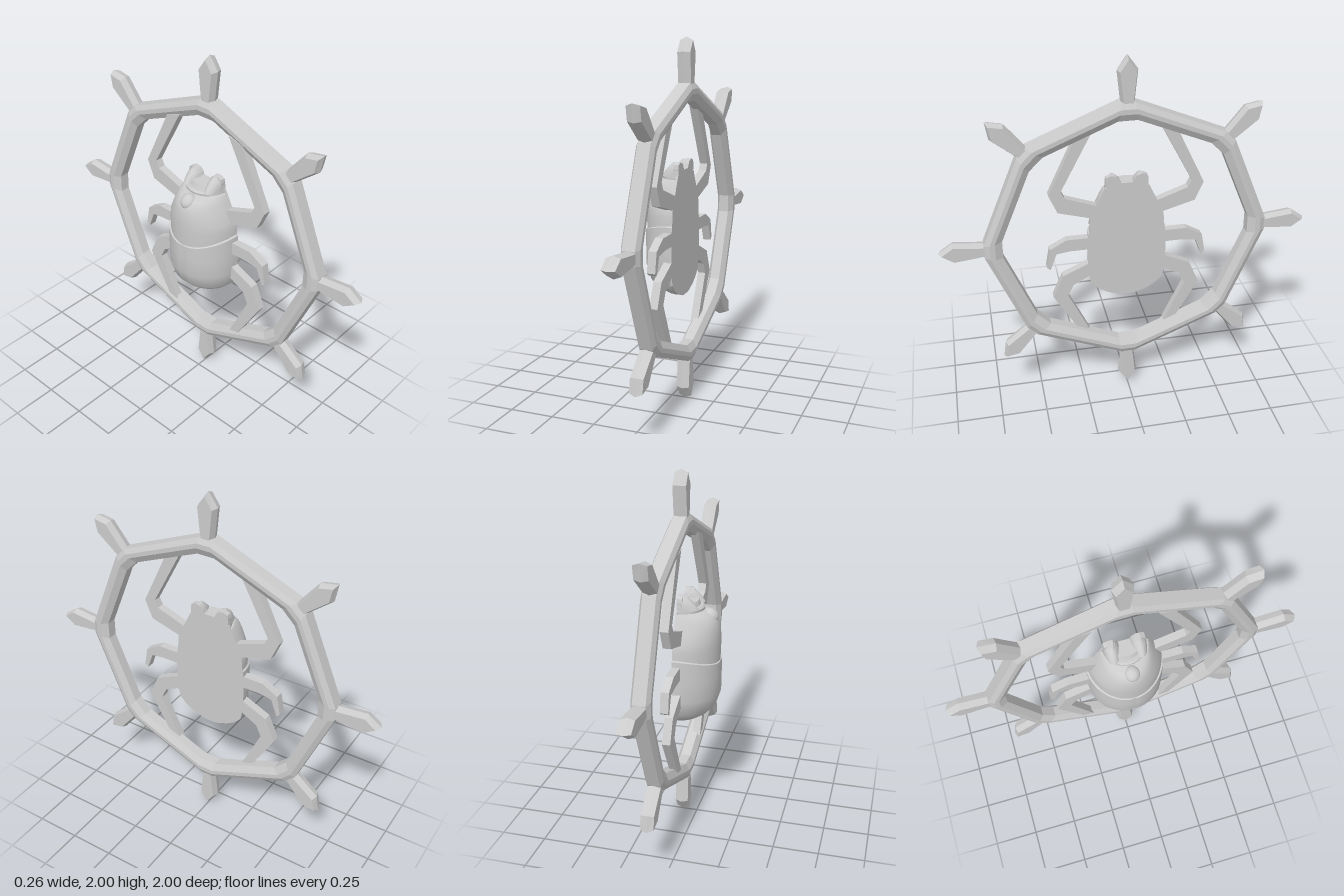
import * as THREE from 'three';
import { toCreasedNormals } from 'three/addons/utils/BufferGeometryUtils.js';

const CX = 0.08; // middle plane of the wheel, also the flat underside of the beetle
const CY = 1.0;
const material = new THREE.MeshStandardMaterial({ color: 0xcccccc });

function add(parent, name, geometry) {
  const mesh = new THREE.Mesh(geometry, material);
  mesh.name = name;
  parent.add(mesh);
  return mesh;
}

// Skin over rows of points; closed joins both directions
function skin(rows, closed, crease) {
  const n = rows.length, m = rows[0].length, index = [];
  for (let i = 0; i < (closed ? n : n - 1); i++) {
    for (let j = 0; j < (closed ? m : m - 1); j++) {
      const i2 = (i + 1) % n, j2 = (j + 1) % m;
      const a = i * m + j, b = i2 * m + j, c = i2 * m + j2, d = i * m + j2;
      index.push(a, b, d, b, c, d);
    }
  }
  const geo = new THREE.BufferGeometry();
  geo.setAttribute('position', new THREE.Float32BufferAttribute(rows.flat(2), 3));
  geo.setIndex(index);
  return toCreasedNormals(geo, crease);
}

// Flat outline of [z, y] points, extruded along x
function plate(points, x0, depth, side = 1) {
  const shape = new THREE.Shape(points.map(([z, y]) => new THREE.Vector2(-z * side, y)));
  const geo = new THREE.ExtrudeGeometry(shape, { depth, bevelEnabled: false });
  return geo.rotateY(Math.PI / 2).translate(x0, 0, 0);
}

// Half-round dome from rows of [y, half width, depth, lift of the sides]
function dome(profile, { groove = 0, z0 = 0, crease = 0.6 } = {}) {
  const steps = 32;
  const rows = profile.map(([y, w, d, lift = 0]) => {
    const row = [];
    for (let j = 0; j <= steps; j++) {
      const t = (j / steps) * Math.PI;
      const k = j === steps / 2 ? 1 - groove : 1;
      row.push([CX - d * k * Math.sin(t), y + lift * Math.cos(t) ** 2, z0 + w * Math.cos(t)]);
    }
    return row;
  });
  return skin(rows, false, crease);
}

// Eight-sided rim with blunt corners and a chamfered section
function rimGeometry() {
  const section = [ // radius, x offset, half length of the blunt corner
    [0.765, -0.034, 0.036], [0.765, 0.034, 0.036], [0.735, 0.05, 0.04], [0.708, 0.05, 0.045],
    [0.668, 0.028, 0.05], [0.668, -0.028, 0.05], [0.708, -0.05, 0.045], [0.735, -0.05, 0.04],
  ];
  const rows = [];
  for (let i = 0; i < 8; i++) {
    const c = Math.cos((i * Math.PI) / 4), s = Math.sin((i * Math.PI) / 4);
    for (const e of [-1, 1]) {
      rows.push(section.map(([r, x, h]) => [CX + x, CY + r * c - e * h * s, r * s + e * h * c]));
    }
  }
  return skin(rows, true, 0.1);
}

// Pointed handle with a ridge around its middle
function handleGeometry() {
  const half = [[0.037, 0.73], [0.037, 0.765], [0.054, 0.925]];
  const points = [...half, [0, 1.0], ...half.map(([z, y]) => [-z, y]).reverse()];
  const shape = new THREE.Shape(points.map(([u, v]) => new THREE.Vector2(u, v)));
  const geo = new THREE.ExtrudeGeometry(shape, {
    depth: 0.002, bevelThickness: 0.035, bevelSize: 0.012, bevelOffset: -0.012, bevelSegments: 1,
  });
  return geo.translate(0, 0, -0.001).rotateY(Math.PI / 2);
}

function buildWheel() {
  const wheel = new THREE.Group();
  wheel.name = 'wheel';
  add(wheel, 'rim', rimGeometry());
  const geo = handleGeometry();
  for (let i = 0; i < 8; i++) {
    const handle = add(wheel, 'handle', geo);
    handle.position.set(CX, CY, 0);
    handle.rotation.x = (i * Math.PI) / 4;
  }
  return wheel;
}

function buildBeetle() {
  const beetle = new THREE.Group();
  beetle.name = 'beetle';

  // Wing cases with a seam down the middle
  add(beetle, 'wingCases', dome([
    [0.613, 0.005, 0.005], [0.617, 0.05, 0.045], [0.64, 0.115, 0.105], [0.67, 0.16, 0.15],
    [0.71, 0.198, 0.188], [0.79, 0.214, 0.214], [0.9, 0.216, 0.216],
    [0.975, 0.214, 0.216, 0.055], [0.98, 0.203, 0.206, 0.055],
  ], { groove: 0.02 }));

  // Thorax
  add(beetle, 'thorax', dome([
    [0.95, 0.203, 0.208, 0.055], [1.06, 0.205, 0.212, 0.02], [1.12, 0.198, 0.212],
    [1.185, 0.168, 0.207], [1.22, 0.152, 0.195], [1.245, 0.14, 0.175], [1.262, 0.13, 0.14],
    [1.265, 0.12, 0.105],
  ]));

  // Head with a collar
  add(beetle, 'head', dome([
    [1.25, 0.118, 0.122], [1.275, 0.12, 0.125], [1.285, 0.118, 0.115], [1.285, 0.11, 0.1],
    [1.31, 0.1, 0.09], [1.312, 0.002, 0.002],
  ]));

  // Belly
  const half = [
    [0.03, 1.31], [0.12, 1.285], [0.165, 1.19], [0.2, 1.11], [0.205, 1.04],
    [0.215, 0.99], [0.215, 0.79], [0.2, 0.71], [0.16, 0.67], [0.11, 0.64], [0.04, 0.615],
  ];
  const outline = [...half, ...half.map(([z, y]) => [-z, y]).reverse()];
  add(beetle, 'belly', plate(outline, CX - 0.01, 0.01));

  // Knob on the back of the thorax
  const knob = add(beetle, 'knob', new THREE.SphereGeometry(1, 24, 16));
  knob.scale.set(0.046, 0.036, 0.042);
  knob.position.set(-0.08, 1.232, 0);
  knob.rotation.z = 0.7;

  // Legs and horns, mirrored
  const legs = {
    frontLeg: [[0.15, 1.185], [0.33, 1.25], [0.35, 1.29], [0.168, 1.635], [0.255, 1.61],
      [0.415, 1.275], [0.37, 1.17], [0.18, 1.115]],
    middleLeg: [[0.19, 1.0], [0.33, 1.0], [0.42, 0.95], [0.44, 0.84], [0.42, 0.825],
      [0.385, 0.92], [0.31, 0.93], [0.19, 0.93]],
    backLeg: [[0.19, 0.85], [0.355, 0.775], [0.412, 0.645], [0.27, 0.4], [0.208, 0.385],
      [0.33, 0.645], [0.3, 0.71], [0.19, 0.77]],
  };
  const horn = [[0.115, 1.29], [0.115, 1.325], [0.11, 1.345], [0.085, 1.356],
    [0.05, 1.345], [0.03, 1.31], [0.03, 1.29]];
  for (const side of [1, -1]) {
    const label = side > 0 ? 'left' : 'right';
    for (const [name, points] of Object.entries(legs)) {
      add(beetle, `${label} ${name}`, plate(points, CX - 0.045, 0.045, side));
    }
    add(beetle, `${label} hornBase`, plate(horn, CX - 0.03, 0.03, side));
    add(beetle, `${label} horn`, dome([
      [1.28, 0.043, 0.11], [1.31, 0.042, 0.09], [1.335, 0.035, 0.065], [1.354, 0.015, 0.045],
      [1.356, 0.001, 0.001],
    ], { z0: side * 0.074 }));
  }
  return beetle;
}

export function createModel() {
  const model = new THREE.Group();
  model.name = 'wheelWithBeetle';
  model.add(buildWheel(), buildBeetle());
  return model;
}
